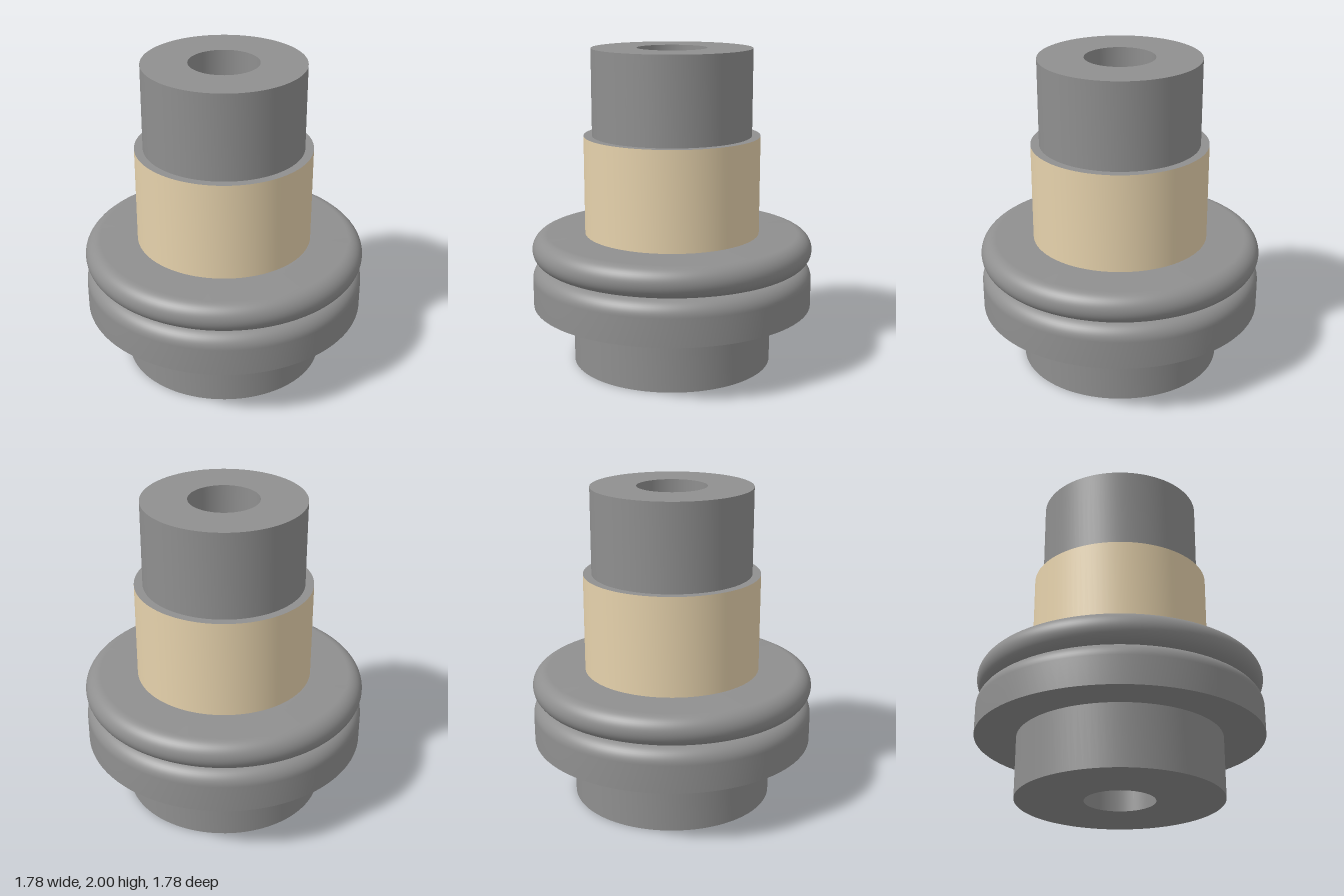
import * as THREE from 'three';
import { toCreasedNormals } from 'three/addons/utils/BufferGeometryUtils.js';

const SEGMENTS = 96;
const BORE = 0.217, HUB = 0.633, FLANGE = 0.888, SLEEVE = 0.553, NECK = 0.5;
const Y_FLANGE = 0.38, Y_GROOVE = 0.65, Y_BEAD_TOP = 0.84, Y_SLEEVE_TOP = 1.46, Y_TOP = 2;
const ROUND = (Y_BEAD_TOP - Y_GROOVE) / 2;

// Points on a circular arc of the profile, angles in degrees
function arc(cx, cy, r, from, to, steps) {
  return Array.from({ length: steps + 1 }, (_, i) => {
    const a = THREE.MathUtils.degToRad(from + (to - from) * i / steps);
    return [cx + r * Math.cos(a), cy + r * Math.sin(a)];
  });
}

export function createModel() {
  const group = new THREE.Group();
  const darkGrey = new THREE.MeshStandardMaterial({ color: 0x8f8f8f, side: THREE.DoubleSide });
  const tan = new THREE.MeshStandardMaterial({ color: 0xe6d2ac, side: THREE.DoubleSide });

  // Revolve a profile (bottom to top, outside facing out) about the y axis
  function turned(name, profile, material = darkGrey) {
    const points = profile.map(([x, y]) => new THREE.Vector2(x, y));
    const geometry = toCreasedNormals(new THREE.LatheGeometry(points, SEGMENTS), 0.6);
    const mesh = new THREE.Mesh(geometry, material);
    mesh.name = name;
    group.add(mesh);
  }

  const rim = FLANGE - ROUND;

  // Lower hub with its bottom face
  turned('lowerHub', [[BORE, 0], [HUB, 0], [HUB, Y_FLANGE]]);

  // Flange with a rounded upper edge
  turned('flange', [
    [HUB, Y_FLANGE], [FLANGE, Y_FLANGE],
    ...arc(rim, Y_GROOVE - ROUND, ROUND, 0, 90, 12),
  ]);

  // Disc with a fully rounded rim, meeting the flange in a groove
  turned('roundedDisc', [
    ...arc(rim, Y_GROOVE + ROUND, ROUND, -90, 90, 24),
    [SLEEVE, Y_BEAD_TOP],
  ]);

  // Coloured sleeve wall and its plain shoulder
  turned('sleeve', [[SLEEVE, Y_BEAD_TOP], [SLEEVE, Y_SLEEVE_TOP]], tan);
  turned('sleeveShoulder', [[SLEEVE, Y_SLEEVE_TOP], [NECK, Y_SLEEVE_TOP]]);

  // Upper neck with its top face
  turned('neck', [[NECK, Y_SLEEVE_TOP], [NECK, Y_TOP], [BORE, Y_TOP]]);

  // Through bore
  turned('bore', [[BORE, Y_TOP], [BORE, 0]]);

  return group;
}
